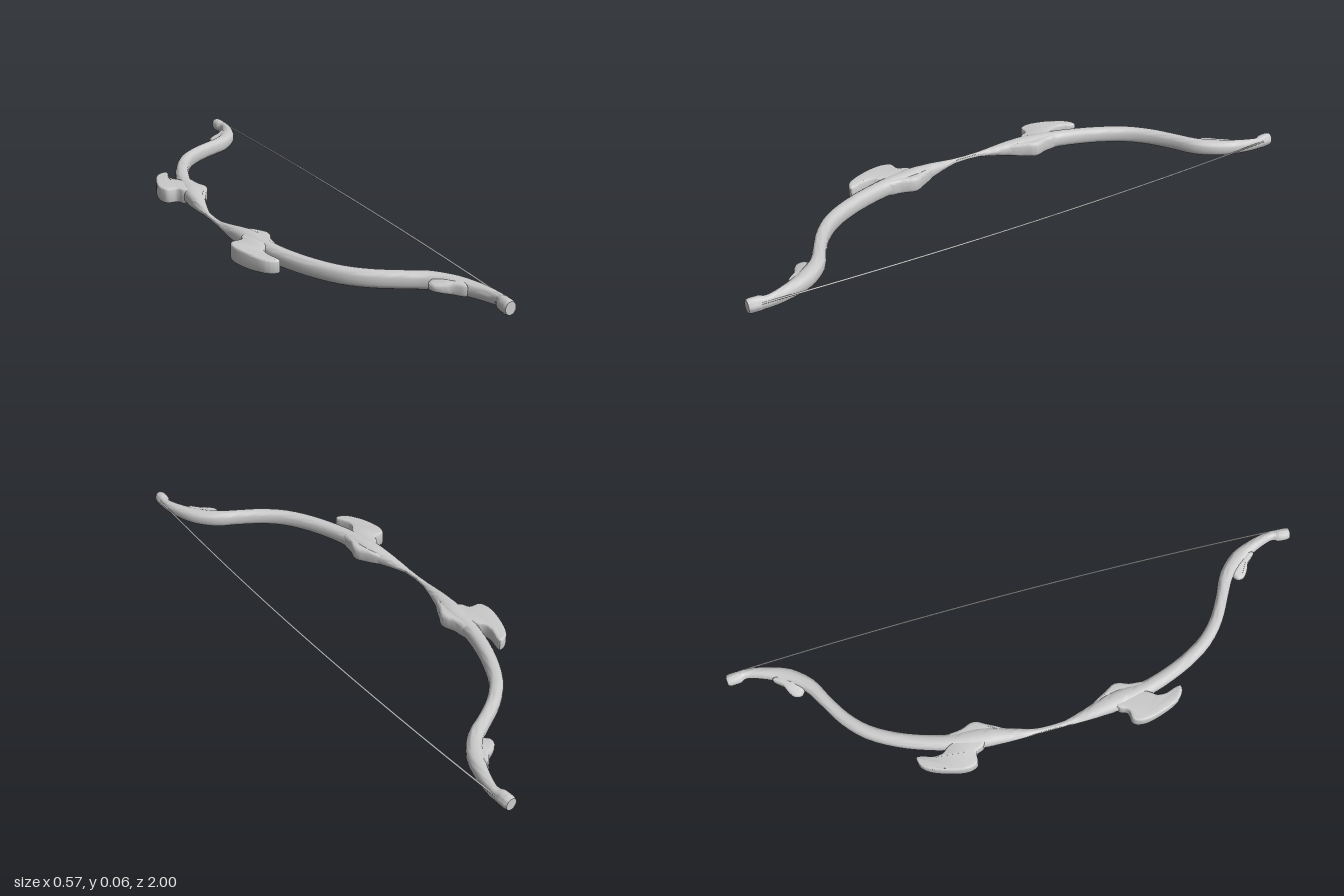
import * as THREE from 'three';
import { toCreasedNormals } from 'three/addons/utils/BufferGeometryUtils.js';

const MID_Y = 0.035;
const { lerp, smoothstep } = THREE.MathUtils;
const material = new THREE.MeshStandardMaterial({ color: 0xcccccc, side: THREE.DoubleSide });

// Half of the stave from grip to tip: x, z, half width, half height
const STATIONS = [
  [-0.220, 0.00, 0.009, 0.006],
  [-0.219, 0.05, 0.010, 0.008],
  [-0.213, 0.10, 0.017, 0.015],
  [-0.205, 0.15, 0.024, 0.023],
  [-0.195, 0.20, 0.032, 0.029],
  [-0.189, 0.245, 0.035, 0.031],
  [-0.183, 0.29, 0.031, 0.030],
  [-0.177, 0.335, 0.026, 0.029],
  [-0.160, 0.40, 0.025, 0.028],
  [-0.121, 0.50, 0.024, 0.028],
  [-0.067, 0.590, 0.023, 0.028],
  [-0.004, 0.650, 0.022, 0.028],
  [0.072, 0.697, 0.021, 0.028],
  [0.143, 0.738, 0.024, 0.028],
  [0.194, 0.798, 0.027, 0.026],
  [0.226, 0.865, 0.021, 0.024],
  [0.243, 0.930, 0.016, 0.021],
  [0.242, 0.950, 0.017, 0.021],
  [0.239, 0.962, 0.021, 0.024],
  [0.237, 0.990, 0.021, 0.024],
  [0.237, 1.000, 0.018, 0.021],
];

// Loft of rounded sections along the whole bow, closed at both tips
function staveGeometry() {
  const rows = [
    ...STATIONS.slice(1).reverse().map(([x, z, w, h]) => [x, -z, w, h]),
    ...STATIONS,
  ];
  const path = new THREE.CatmullRomCurve3(rows.map(r => new THREE.Vector3(r[0], 0, r[1])), false, 'centripetal');
  const sides = 20, sub = 3, steps = (rows.length - 1) * sub;
  const positions = [], index = [];
  for (let i = 0; i <= steps; i++) {
    const u = i / steps;
    const p = path.getPoint(u), t = path.getTangent(u);
    const k = Math.min(Math.floor(i / sub), rows.length - 2);
    const f = i / sub - k;
    const w = lerp(rows[k][2], rows[k + 1][2], f);
    const h = lerp(rows[k][3], rows[k + 1][3], f);
    // boxy limbs, round tips
    const power = lerp(0.78, 1, smoothstep(Math.abs(p.z), 0.8, 0.95));
    const squash = v => Math.sign(v) * Math.pow(Math.abs(v), power);
    for (let j = 0; j < sides; j++) {
      const a = (j / sides) * Math.PI * 2;
      const side = w * squash(Math.cos(a));
      positions.push(p.x + t.z * side, MID_Y + h * squash(Math.sin(a)), p.z - t.x * side);
    }
  }
  for (let i = 0; i < steps; i++) {
    for (let j = 0; j < sides; j++) {
      const a = i * sides + j, b = i * sides + (j + 1) % sides;
      index.push(a, b, a + sides, b, b + sides, a + sides);
    }
  }
  // tip caps
  const last = steps * sides;
  for (let j = 1; j < sides - 1; j++) {
    index.push(0, j + 1, j, last, last + j, last + j + 1);
  }
  const geo = new THREE.BufferGeometry();
  geo.setAttribute('position', new THREE.Float32BufferAttribute(positions, 3));
  geo.setIndex(index);
  return toCreasedNormals(geo, 0.9);
}

// Bevelled plate with a curved outline of [x, z] points; thin(x, z) scales its height
function plateGeometry({ points, height, bevel, thin }, s) {
  const curve = new THREE.CatmullRomCurve3(points.map(([x, z]) => new THREE.Vector3(x, z * s, 0)), true, 'centripetal');
  const outline = curve.getPoints(points.length * 4).slice(0, -1);
  const shape = new THREE.Shape(outline.map(p => new THREE.Vector2(p.x, p.y)));
  const depth = height - 2 * bevel;
  const geo = new THREE.ExtrudeGeometry(shape, {
    depth, bevelEnabled: true, bevelThickness: bevel, bevelSize: bevel, bevelOffset: -bevel, bevelSegments: 3,
  });
  geo.translate(0, 0, -depth / 2);
  geo.rotateX(Math.PI / 2);
  const pos = geo.attributes.position;
  for (let i = 0; i < pos.count; i++) {
    pos.setY(i, MID_Y + pos.getY(i) * thin(pos.getX(i), Math.abs(pos.getZ(i))));
  }
  return toCreasedNormals(geo, 0.7);
}

const PLATES = {
  // hooked wing on the outer side of the limb
  Wing: {
    points: [
      [-0.190, 0.215], [-0.226, 0.235], [-0.238, 0.260], [-0.275, 0.266], [-0.288, 0.300],
      [-0.273, 0.375], [-0.245, 0.437], [-0.222, 0.454], [-0.202, 0.455], [-0.202, 0.438],
      [-0.214, 0.400], [-0.212, 0.368], [-0.198, 0.350], [-0.175, 0.300],
    ],
    height: 0.054, bevel: 0.007,
    thin: (x, z) => lerp(1, 0.85, smoothstep(z, 0.36, 0.45)),
  },
  // angular fin on the string side of the limb
  Fin: {
    points: [
      [-0.200, 0.130], [-0.174, 0.165], [-0.153, 0.205], [-0.135, 0.238], [-0.136, 0.258],
      [-0.148, 0.290], [-0.156, 0.340], [-0.175, 0.350], [-0.200, 0.250],
    ],
    height: 0.052, bevel: 0.010,
    thin: (x, z) => lerp(0.5, 1, smoothstep(z, 0.10, 0.22)),
  },
  // small barb near the tip, thinning outwards
  Barb: {
    points: [
      [0.165, 0.735], [0.142, 0.752], [0.116, 0.770], [0.118, 0.794],
      [0.140, 0.812], [0.165, 0.824], [0.195, 0.854], [0.205, 0.800],
    ],
    height: 0.042, bevel: 0.010,
    thin: x => lerp(0.55, 1, smoothstep(x, 0.105, 0.185)),
  },
};

export function createModel() {
  const bow = new THREE.Group();
  bow.name = 'bow';
  const add = (name, geo) => {
    const mesh = new THREE.Mesh(geo, material);
    mesh.name = name;
    bow.add(mesh);
  };

  add('stave', staveGeometry());
  for (const [s, label] of [[1, 'front'], [-1, 'back']]) {
    for (const part in PLATES) add(label + part, plateGeometry(PLATES[part], s));
  }

  // Slightly bowed string between the two tips
  const string = new THREE.QuadraticBezierCurve3(
    new THREE.Vector3(0.256, 0.042, -0.96),
    new THREE.Vector3(0.306, 0.034, 0),
    new THREE.Vector3(0.256, 0.042, 0.96),
  );
  add('string', new THREE.TubeGeometry(string, 48, 0.003, 8));

  return bow;
}
